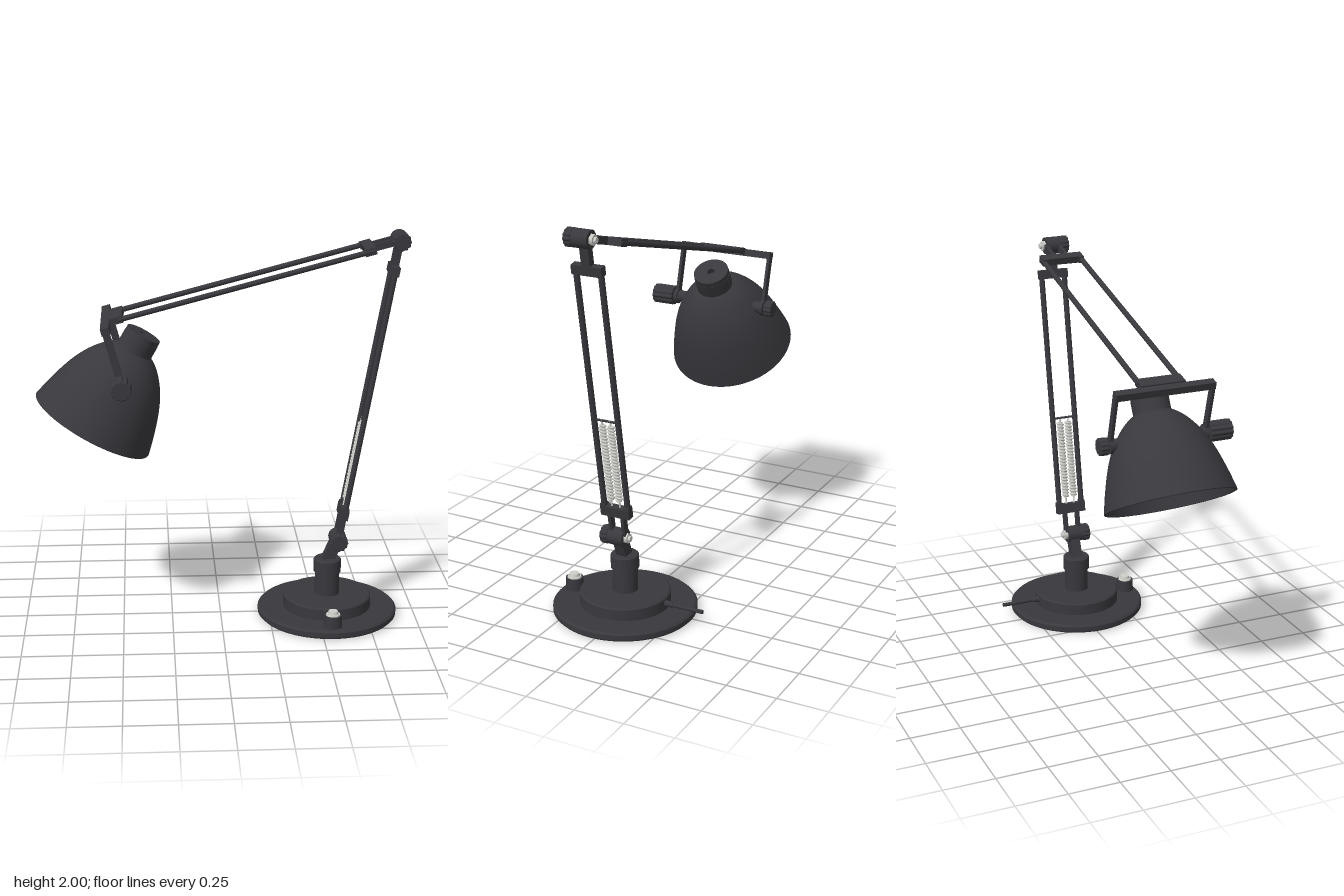
import * as THREE from 'three';

const dark = new THREE.MeshStandardMaterial({ color: 0x39383d });
dark.name = 'charcoal paint';
const silver = new THREE.MeshStandardMaterial({ color: 0xcfcfca });
silver.name = 'bright silver';

const V = (x, y, z = 0) => new THREE.Vector3(x, y, z);

export function createModel() {
  const lamp = new THREE.Group();
  lamp.name = 'deskLamp';
  lamp.position.z = 0.023;

  const add = (name, geo, mat = dark, parent = lamp) => {
    const m = new THREE.Mesh(geo, mat);
    m.name = name;
    parent.add(m);
    return m;
  };
  // upright disc or post between two heights
  const post = (name, r0, r1, y0, y1, x, z, mat = dark, parent = lamp, sides = 40) => {
    const m = add(name, new THREE.CylinderGeometry(r1, r0, y1 - y0, sides), mat, parent);
    m.position.set(x, (y0 + y1) / 2, z);
    return m;
  };
  // cylinder lying along z
  const pin = (name, r, z0, z1, p, mat = dark, sides = 24) => {
    const m = add(name, new THREE.CylinderGeometry(r, r, Math.abs(z1 - z0), sides), mat);
    m.rotation.x = Math.PI / 2;
    m.position.set(p.x, p.y, (z0 + z1) / 2);
  };
  // straight member between two points of the xy plane, round or rectangular
  const bar = (name, a, b, z, geoOf) => {
    const m = add(name, geoOf(a.distanceTo(b)));
    m.position.set((a.x + b.x) / 2, (a.y + b.y) / 2, z);
    m.rotation.z = Math.atan2(b.y - a.y, b.x - a.x) - Math.PI / 2;
  };
  const flat = (w, d) => (len) => new THREE.BoxGeometry(w, len, d);
  const round = (r) => (len) => new THREE.CylinderGeometry(r, r, len, 12);
  // fluted grip knob along z
  const knob = (name, r, z0, z1, p) => {
    const s = new THREE.Shape();
    const n = 72;
    for (let i = 0; i < n; i++) {
      const t = (i / n) * Math.PI * 2;
      const q = r * (0.95 + 0.05 * Math.cos(t * 12));
      s[i ? 'lineTo' : 'moveTo'](q * Math.cos(t), q * Math.sin(t));
    }
    const b = 0.005;
    const geo = new THREE.ExtrudeGeometry(s, {
      depth: z1 - z0 - 2 * b, bevelEnabled: true, bevelSize: b, bevelOffset: -b, bevelThickness: b, bevelSegments: 2,
    });
    add(name, geo).position.set(p.x, p.y, z0 + b);
  };

  // ---- base
  const bx = 0.55;
  post('basePad', 0.345, 0.35, 0, 0.012, bx, 0, dark, lamp, 64);
  post('basePlate', 0.357, 0.357, 0.012, 0.036, bx, 0, dark, lamp, 64);
  post('basePlateBevel', 0.357, 0.347, 0.036, 0.046, bx, 0, dark, lamp, 64);
  post('baseStep', 0.225, 0.225, 0.046, 0.103, bx, 0, dark, lamp, 64);
  post('baseStepBevel', 0.225, 0.218, 0.103, 0.11, bx, 0, dark, lamp, 64);
  post('post', 0.063, 0.063, 0.11, 0.23, bx, 0);
  post('collar', 0.07, 0.07, 0.23, 0.295, bx, 0);
  post('collarBevel', 0.07, 0.064, 0.295, 0.302, bx, 0);
  post('switchBody', 0.046, 0.044, 0.046, 0.108, bx, 0.291, dark, lamp, 24);
  post('switchFlange', 0.036, 0.034, 0.108, 0.115, bx, 0.291, silver, lamp, 24);
  post('switchButton', 0.027, 0.024, 0.115, 0.13, bx, 0.291, silver, lamp, 24);

  // power cable leaving the back of the base
  const cable = post('cable', 0.01, 0.01, 0, 0.22, bx, 0, dark, lamp, 12);
  cable.rotation.x = -Math.PI / 2;
  cable.position.set(bx, 0.08, -0.318);
  const relief = post('cableSleeve', 0.02, 0.012, 0, 0.06, bx, 0, dark, lamp, 16);
  relief.rotation.x = -Math.PI / 2;
  relief.position.set(bx, 0.08, -0.235);

  // ---- hinges
  const low = V(0.6, 0.41);
  const high = V(0.873, 1.955);
  [['lower', low], ['upper', high]].forEach(([n, p]) => {
    pin(n + 'HingeBarrel', 0.044, -0.034, 0.05, p);
    knob(n + 'HingeKnob', 0.046, 0.052, 0.09, p);
    pin(n + 'HingeNut', 0.027, -0.034, -0.052, p, silver, 6);
    pin(n + 'HingeBolt', 0.014, -0.052, -0.064, p, silver, 12);
  });
  bar('neck', V(0.545, 0.28), low, 0, flat(0.06, 0.052));

  // ---- lower arm
  const onLow = (y) => low.clone().lerp(high, (y - low.y) / (high.y - low.y));
  for (const s of [-1, 1]) {
    bar('lowerFork', low, onLow(0.56), s * 0.035, flat(0.036, 0.016));
    bar('lowerArmRod', onLow(0.54), onLow(1.82), s * 0.064, round(0.0145));
    bar('lowerArmSleeve', onLow(0.535), onLow(0.59), s * 0.064, flat(0.036, 0.028));
    bar('lowerArmTopSleeve', onLow(1.785), onLow(1.83), s * 0.064, flat(0.036, 0.028));
  }
  bar('lowerCrossbar', onLow(0.53), onLow(0.58), 0, flat(0.04, 0.156));
  bar('lowerArmTopCrossbar', onLow(1.785), onLow(1.83), 0, flat(0.04, 0.156));
  bar('lowerArmTopNeck', onLow(1.82), high, 0, flat(0.038, 0.045));

  // ---- paired tension springs between the lower rods, flattened across the arm
  class Coil extends THREE.Curve {
    getPoint(t, out = V(0, 0)) {
      const a = t * 24 * Math.PI * 2;
      return out.set(0.0085 * Math.cos(a), 0.21 + 0.41 * t, 0.0155 * Math.sin(a));
    }
  }
  const springs = new THREE.Group();
  springs.name = 'springs';
  springs.position.copy(low);
  springs.rotation.z = Math.atan2(high.y - low.y, high.x - low.x) - Math.PI / 2;
  lamp.add(springs);
  for (const s of [-1, 1]) {
    const z = s * 0.0225;
    add('spring', new THREE.TubeGeometry(new Coil(), 384, 0.0055, 6), silver, springs).position.z = z;
    const core = post('springCore', 0.008, 0.008, 0.208, 0.622, 0, z, silver, springs, 16);
    core.scale.z = 1.8;
    post('springHook', 0.005, 0.005, 0.16, 0.215, 0, z, silver, springs, 8);
    post('springTopHook', 0.005, 0.005, 0.62, 0.65, 0, z, silver, springs, 8);
  }
  pin('springAnchor', 0.006, -0.064, 0.064, onLow(1.045), dark, 10);

  // ---- upper arm
  const tip = V(-0.54, 1.582);
  const onHigh = (x) => high.clone().lerp(tip, (high.x - x) / (high.x - tip.x));
  for (const s of [-1, 1]) {
    bar('upperFork', high, onHigh(0.72), s * 0.035, flat(0.036, 0.016));
    bar('upperArmRod', onHigh(0.74), onHigh(-0.5), s * 0.103, round(0.0135));
    bar('upperArmSleeve', onHigh(0.745), onHigh(0.69), s * 0.1, flat(0.036, 0.026));
  }
  bar('upperCrossbar', onHigh(0.745), onHigh(0.695), 0, flat(0.036, 0.22));
  bar('upperArmEndBar', onHigh(-0.48), onHigh(-0.545), 0, flat(0.034, 0.226));

  // ---- yoke holding the shade
  const pivot = V(-0.49, 1.308);
  const yokeTop = V(-0.562, 1.572);
  bar('yokeBar', V(-0.567, 1.586), V(-0.558, 1.552), 0, flat(0.042, 0.508));
  for (const s of [-1, 1]) {
    bar('yokeLeg', yokeTop, pivot, s * 0.247, flat(0.036, 0.015));
    pin('yokeEye', 0.04, s * 0.238, s * 0.256, pivot);
    pin('shadePivot', 0.03, s * 0.18, s * 0.24, pivot);
  }
  knob('frontKnob', 0.051, 0.262, 0.378, pivot);
  pin('frontKnobShaft', 0.03, 0.25, 0.265, pivot);
  knob('backKnob', 0.043, -0.304, -0.262, pivot);
  pin('backKnobShaft', 0.025, -0.265, -0.25, pivot);

  // ---- shade, built upright on its rim and then tilted
  const shade = new THREE.Group();
  shade.name = 'shade';
  shade.position.set(-0.638, 1.041, 0);
  shade.rotation.z = -Math.atan2(0.494, 0.87);
  lamp.add(shade);
  const profile = (inset) => new THREE.SplineCurve(
    [[0.319, 0], [0.294, 0.1], [0.257, 0.215], [0.215, 0.303], [0.165, 0.372], [0.12, 0.414], [0.085, 0.435]]
      .map(([r, y]) => new THREE.Vector2(r - inset, y - (y > 0 ? inset : 0)))).getPoints(28);
  add('shadeOuter', new THREE.LatheGeometry(profile(0), 64), dark, shade);
  const inner = profile(0.008).reverse();
  inner.unshift(new THREE.Vector2(0, inner[0].y));
  add('shadeInner', new THREE.LatheGeometry(inner, 64), dark, shade);
  const rim = add('shadeRim', new THREE.TorusGeometry(0.315, 0.004, 8, 64), dark, shade);
  rim.rotation.x = Math.PI / 2;

  // cap with a small recessed cable hole
  const capShape = new THREE.Shape().absarc(0, 0, 0.09, 0, Math.PI * 2);
  capShape.holes.push(new THREE.Path().absarc(0, 0, 0.019, 0, Math.PI * 2, true));
  const capTop = add('shadeCapTop', new THREE.ExtrudeGeometry(capShape, {
    depth: 0.03, bevelEnabled: false, curveSegments: 40,
  }), dark, shade);
  capTop.rotation.x = -Math.PI / 2;
  capTop.position.y = 0.496;
  post('shadeCap', 0.092, 0.092, 0.415, 0.5, 0, 0, dark, shade);

  const model = new THREE.Group();
  model.name = 'lampModel';
  model.add(lamp);
  return model;
}
